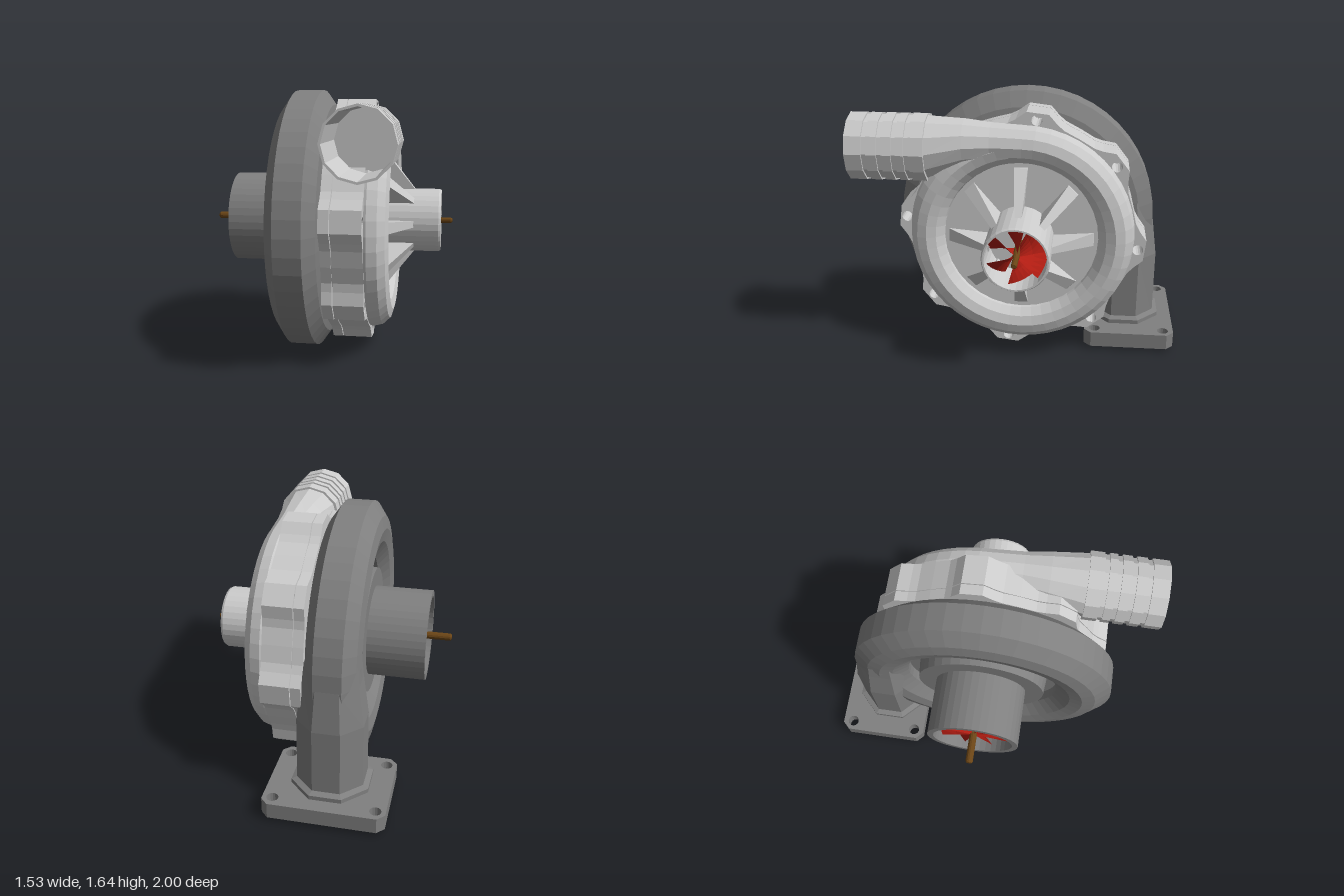
import * as THREE from 'three';

const V2 = (x, y) => new THREE.Vector2(x, y);
const mat = (color) => new THREE.MeshStandardMaterial({ color, flatShading: true, side: THREE.DoubleSide });

// Surface through successive rings of points (each ring has the same count)
function loft(rings) {
  const n = rings[0].length, idx = [];
  for (let i = 0; i < rings.length - 1; i++)
    for (let j = 0; j < n; j++) {
      const a = i * n + j, b = i * n + (j + 1) % n;
      idx.push(a, b, a + n, b, b + n, a + n);
    }
  const g = new THREE.BufferGeometry();
  g.setAttribute('position', new THREE.Float32BufferAttribute(rings.flat(2), 3));
  g.setIndex(idx);
  g.computeVertexNormals();
  return g;
}

// Points around an ellipse, passed through a placing function
function ring(n, offset, rx, ry, place) {
  return Array.from({ length: n }, (_, i) => {
    const a = offset + i / n * Math.PI * 2;
    return place(Math.cos(a) * rx, Math.sin(a) * ry);
  });
}

// Lathe about local z from [z, radius] pairs
const turned = (pts, seg) =>
  new THREE.LatheGeometry(pts.map(([z, r]) => V2(r, z)), seg).rotateX(Math.PI / 2);

function circleHole(x, y, r, n = 16) {
  const p = new THREE.Path();
  p.setFromPoints(ring(n, Math.PI / n, r, r, (a, b) => V2(x + a, y + b)));
  return p;
}

export function createModel() {
  const root = new THREE.Group();
  const light = mat(0xcccccc), dark = mat(0x808080), red = mat(0xb01c12), brown = mat(0x6b4516);

  // Everything on the shaft axis: local z becomes +x
  const axial = new THREE.Group();
  axial.name = 'rotaryAssembly';
  axial.rotation.y = Math.PI / 2;
  axial.position.set(0, 0.828, -0.02);
  root.add(axial);
  const add = (parent, name, geo, m) => {
    const mesh = new THREE.Mesh(geo, m);
    mesh.name = name;
    parent.add(mesh);
    return mesh;
  };

  // Turbine scroll: faceted ring
  const half = [[-0.165, 0], [-0.148, 0.08], [-0.083, 0.172], [0.083, 0.172], [0.148, 0.08], [0.165, 0]];
  const section = [...half, ...half.slice(1, -1).reverse().map(([z, r]) => [z, -r]), half[0]];
  add(axial, 'turbineScroll', turned(section.map(([z, r]) => [z - 0.143, 0.65 + r]), 48), dark);

  // Exhaust outlet with stepped back plate and open bore
  add(axial, 'exhaustOutlet', turned([
    [-0.4, 0], [-0.4, 0.25], [-0.63, 0.25], [-0.63, 0.286], [-0.27, 0.286],
    [-0.27, 0.4], [-0.17, 0.41], [-0.17, 0.56]], 40), dark);
  add(axial, 'centreCore', turned([[-0.15, 0], [-0.15, 0.56], [0.03, 0.56], [0.03, 0]], 40), dark);

  // Lugged clamping plates
  const outline = [];
  for (let i = 0; i < 8; i++)
    for (const [d, r] of [[-14, 0.7], [-10, 0.72], [-5, 0.765], [5, 0.765], [10, 0.72], [14, 0.7], [22.5, 0.695]]) {
      const a = THREE.MathUtils.degToRad(83 - i * 45 - d);
      outline.push(V2(Math.cos(a) * r, Math.sin(a) * r));
    }
  const plate = (name, z, depth, holes) => {
    const s = new THREE.Shape(outline);
    if (holes) for (let i = 0; i < 8; i++) {
      const a = THREE.MathUtils.degToRad(83 - i * 45);
      s.holes.push(circleHole(Math.cos(a) * 0.72, Math.sin(a) * 0.72, 0.033));
    }
    add(axial, name, new THREE.ExtrudeGeometry(s, { depth, bevelEnabled: false }).translate(0, 0, z), light);
  };
  plate('backPlate', 0.023, 0.062, false);
  plate('frontPlate', 0.09, 0.18, true);
  add(axial, 'plateSeam', turned([[0.08, 0.69], [0.095, 0.69]], 48), light);

  // Compressor scroll
  const scroll = ring(12, 0, 0.12, 0.115, (z, r) => [0.285 + z, 0.575 + r]);
  add(axial, 'compressorScroll', turned([...scroll, scroll[0]], 48), light);

  // Air inlet and its face
  add(axial, 'airInlet', turned([
    [0.33, 0.47], [0.33, 0.2], [0.68, 0.2], [0.695, 0.192], [0.695, 0.182], [0.42, 0.182], [0.42, 0]], 32), light);

  // Eight tapered ribs around the inlet
  const ribShape = new THREE.Shape([V2(0.32, 0.17), V2(0.32, 0.45), V2(0.335, 0.44), V2(0.53, 0.195), V2(0.53, 0.17)]);
  const ribGeo = new THREE.ExtrudeGeometry(ribShape, { depth: 1, bevelEnabled: false })
    .translate(0, 0, -0.5).rotateY(-Math.PI / 2);
  const rp = ribGeo.attributes.position;
  for (let i = 0; i < rp.count; i++) rp.setX(i, rp.getX(i) * (0.04 + (rp.getY(i) - 0.19) * 0.17));
  ribGeo.computeVertexNormals();
  for (let i = 0; i < 8; i++) add(axial, 'inletRib', ribGeo, light).rotation.z = i * Math.PI / 4;

  // Bladed wheels: each blade sweeps round and back along the shaft
  function wheel(name, z0, depth, radius, count) {
    const g = new THREE.Group();
    g.name = name;
    const blade = new THREE.PlaneGeometry(1, 1, 2, 5), p = blade.attributes.position;
    for (let i = 0; i < p.count; i++) {
      const r = 0.02 + (p.getX(i) + 0.5) * (radius - 0.02), v = p.getY(i) + 0.5;
      const a = v * 0.82 * Math.PI * 2 / count;
      p.setXYZ(i, Math.cos(a) * r, Math.sin(a) * r, z0 + v * depth);
    }
    blade.computeVertexNormals();
    for (let i = 0; i < count; i++) add(g, 'blade', blade, red).rotation.z = 0.25 + i * Math.PI * 2 / count;
    axial.add(g);
  }
  wheel('compressorWheel', 0.64, -0.14, 0.178, 6);
  wheel('turbineWheel', -0.59, 0.14, 0.235, 8);

  // Shaft
  add(axial, 'shaft', turned([
    [-0.77, 0], [-0.77, 0.017], [-0.76, 0.023], [0.6, 0.023], [0.66, 0.018], [0.755, 0.018], [0.765, 0.012], [0.765, 0]], 12), brown);

  // Delivery neck leaving the top of the compressor scroll toward the front
  const neck = [[-0.03, 0.285, 1.403, 0.12, 0.115], [0.16, 0.285, 1.408, 0.128, 0.122],
    [0.32, 0.28, 1.405, 0.155, 0.143], [0.54, 0.278, 1.37, 0.19, 0.192]];
  add(root, 'deliveryNeck', loft(neck.map(([z, x, y, rx, ry]) =>
    ring(12, 0, rx, ry, (a, b) => [x + a, y + b, z]))), light);

  // Ribbed hose spigot with open bore
  const spigot = [[0.535, 0.18], [0.535, 0.207]];
  for (const z of [0.635, 0.71, 0.795, 0.885])
    spigot.push([z - 0.014, 0.207], [z - 0.014, 0.196], [z + 0.014, 0.196], [z + 0.014, 0.207]);
  spigot.push([1, 0.207], [1, 0.193], [0.56, 0.188], [0.56, 0]);
  add(root, 'hoseSpigot', turned(spigot, 12), light).position.set(0.278, 1.368, 0);

  // Octagonal inlet leg running down from the turbine scroll
  const k = 1 / Math.cos(Math.PI / 8);
  const oct = (y, z, hx, hz) => ring(8, Math.PI / 8, hx * k, hz * k, (a, b) => [-0.143 + a, y, z + b]);
  add(root, 'turbineInletLeg', loft([oct(0.95, -0.665, 0.155, 0.16), oct(0.83, -0.67, 0.167, 0.172),
    oct(0.58, -0.678, 0.2, 0.197), oct(0.12, -0.678, 0.203, 0.197)]), dark);
  add(root, 'legCollar', loft([oct(0.12, -0.678, 0.235, 0.23), oct(0.155, -0.678, 0.235, 0.23),
    oct(0.17, -0.678, 0.2, 0.195)]), dark);

  // Mounting flange with corner holes and central port
  const w = 0.37, d = 0.29, c = 0.045;
  const flange = new THREE.Shape([V2(-w + c, -d), V2(w - c, -d), V2(w, -d + c), V2(w, d - c),
    V2(w - c, d), V2(-w + c, d), V2(-w, d - c), V2(-w, -d + c)]);
  for (const sx of [-1, 1]) for (const sz of [-1, 1]) flange.holes.push(circleHole(sx * 0.308, sz * 0.222, 0.036));
  flange.holes.push(circleHole(0, 0.032, 0.2, 8));
  add(root, 'mountingFlange', new THREE.ExtrudeGeometry(flange, { depth: 0.1, bevelEnabled: false })
    .rotateX(Math.PI / 2), dark).position.set(-0.14, 0.128, -0.71);

  return root;
}
